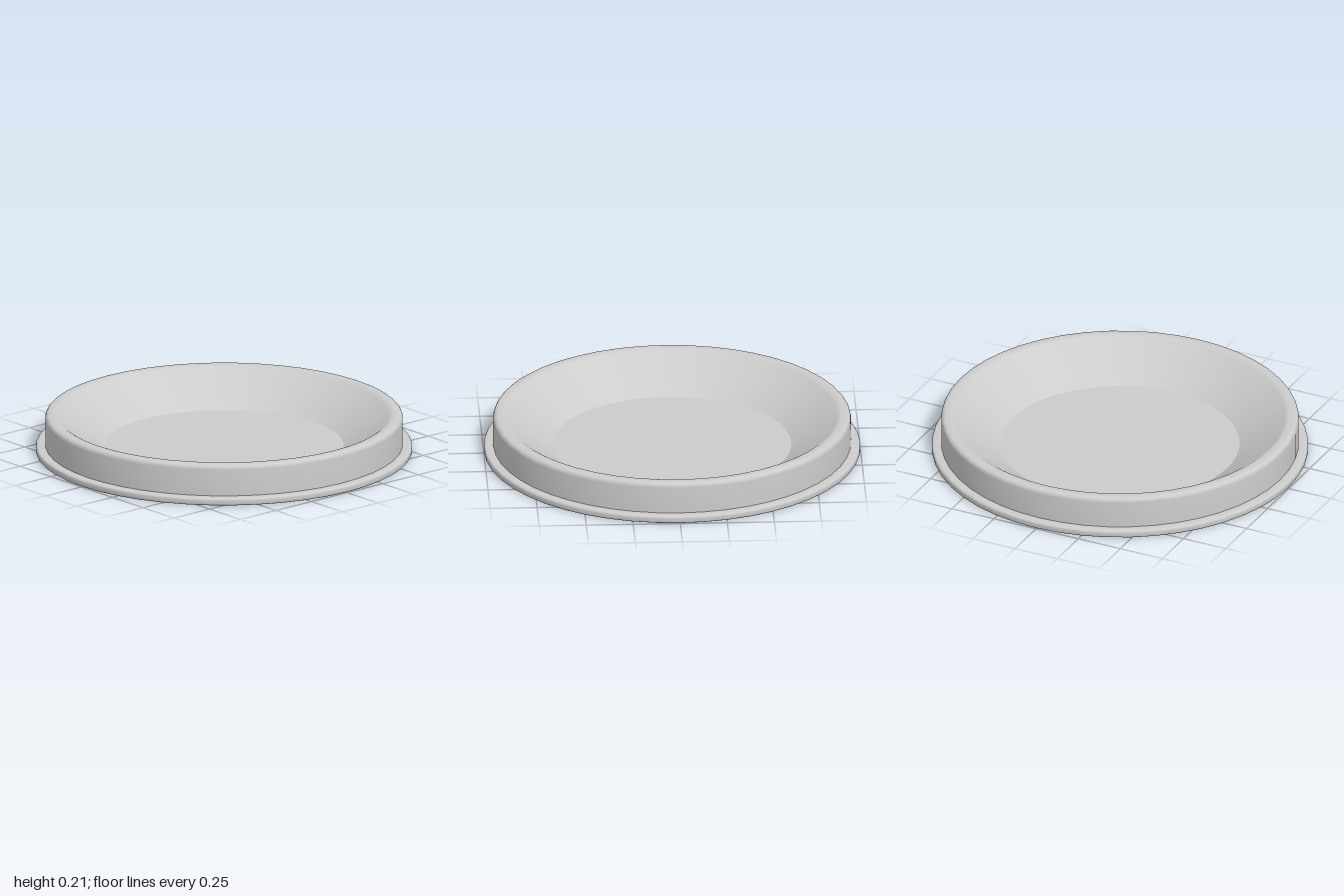
import * as THREE from 'three';
import { toCreasedNormals } from 'three/addons/utils/BufferGeometryUtils.js';

const SIDES = 48;
const FLOOR_RADIUS = 0.635;
const FLOOR_Y = 0.035;

// Adds a rounded corner to a profile, from angle a to b in degrees
function arc(points, cx, cy, radius, a, b, steps) {
  for (let i = 0; i <= steps; i++) {
    const t = THREE.MathUtils.degToRad(a + ((b - a) * i) / steps);
    points.push(new THREE.Vector2(cx + radius * Math.cos(t), cy + radius * Math.sin(t)));
  }
}

export function createModel() {
  const model = new THREE.Group();
  const material = new THREE.MeshStandardMaterial({ color: 0xcccccc, side: THREE.DoubleSide });

  const add = (name, geometry) => {
    const mesh = new THREE.Mesh(geometry, material);
    mesh.name = name;
    model.add(mesh);
    return mesh;
  };
  const lathe = (points) => toCreasedNormals(new THREE.LatheGeometry(points, SIDES), 0.5);

  // Flat outer lip with rounded edges
  const lip = [new THREE.Vector2(0.947, 0)];
  arc(lip, 0.99, 0.01, 0.01, -90, 0, 4);
  arc(lip, 0.988, 0.028, 0.012, 0, 90, 4);
  lip.push(new THREE.Vector2(0.95, 0.04));
  add('outerLip', lathe(lip));

  // Thin upright wall, rounded rim and sloping inner side
  const shell = [new THREE.Vector2(0.95, 0)];
  arc(shell, 0.925, 0.185, 0.025, 0, 90, 6);
  arc(shell, 0.905, 0.16, 0.05, 90, 125, 5);
  shell.push(new THREE.Vector2(FLOOR_RADIUS, FLOOR_Y));
  add('wallAndRim', lathe(shell));

  // Sunken flat floor
  const floor = add('floor', new THREE.CircleGeometry(FLOOR_RADIUS, SIDES));
  floor.rotation.x = -Math.PI / 2;
  floor.position.y = FLOOR_Y;

  return model;
}
